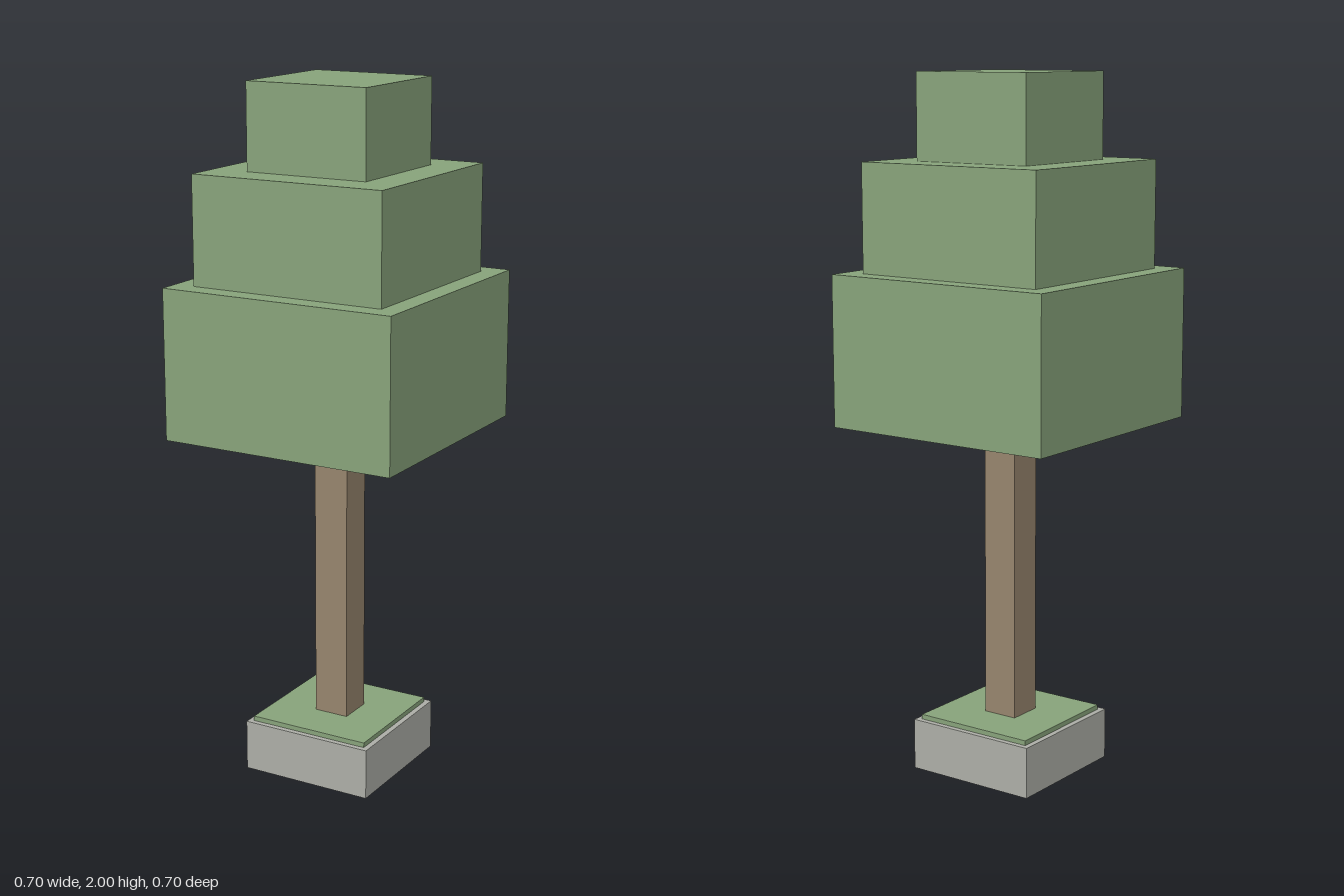
import * as THREE from 'three';

const material = (color) => new THREE.MeshStandardMaterial({ color, flatShading: true });

// Square block of the given width, standing between two heights
function block(name, width, bottom, top, mat) {
  const mesh = new THREE.Mesh(new THREE.BoxGeometry(width, top - bottom, width), mat);
  mesh.name = name;
  mesh.position.y = (bottom + top) / 2;
  return mesh;
}

export function createModel() {
  const tree = new THREE.Group();
  tree.name = 'tree';
  const leaf = material(0x87a27a);
  const bark = material(0x96846d);
  const stone = material(0xacada6);

  // Stone planter with a thin grass layer
  tree.add(block('planter', 0.4, 0, 0.148, stone));
  tree.add(block('grass', 0.368, 0.148, 0.162, leaf));

  // Trunk
  tree.add(block('trunk', 0.104, 0.162, 1.02, bark));

  // Stepped foliage
  const foliage = new THREE.Group();
  foliage.name = 'foliage';
  foliage.add(block('lowerFoliage', 0.705, 1.02, 1.45, leaf));
  foliage.add(block('middleFoliage', 0.583, 1.45, 1.757, leaf));
  foliage.add(block('topFoliage', 0.368, 1.757, 2, leaf));
  tree.add(foliage);

  return tree;
}
